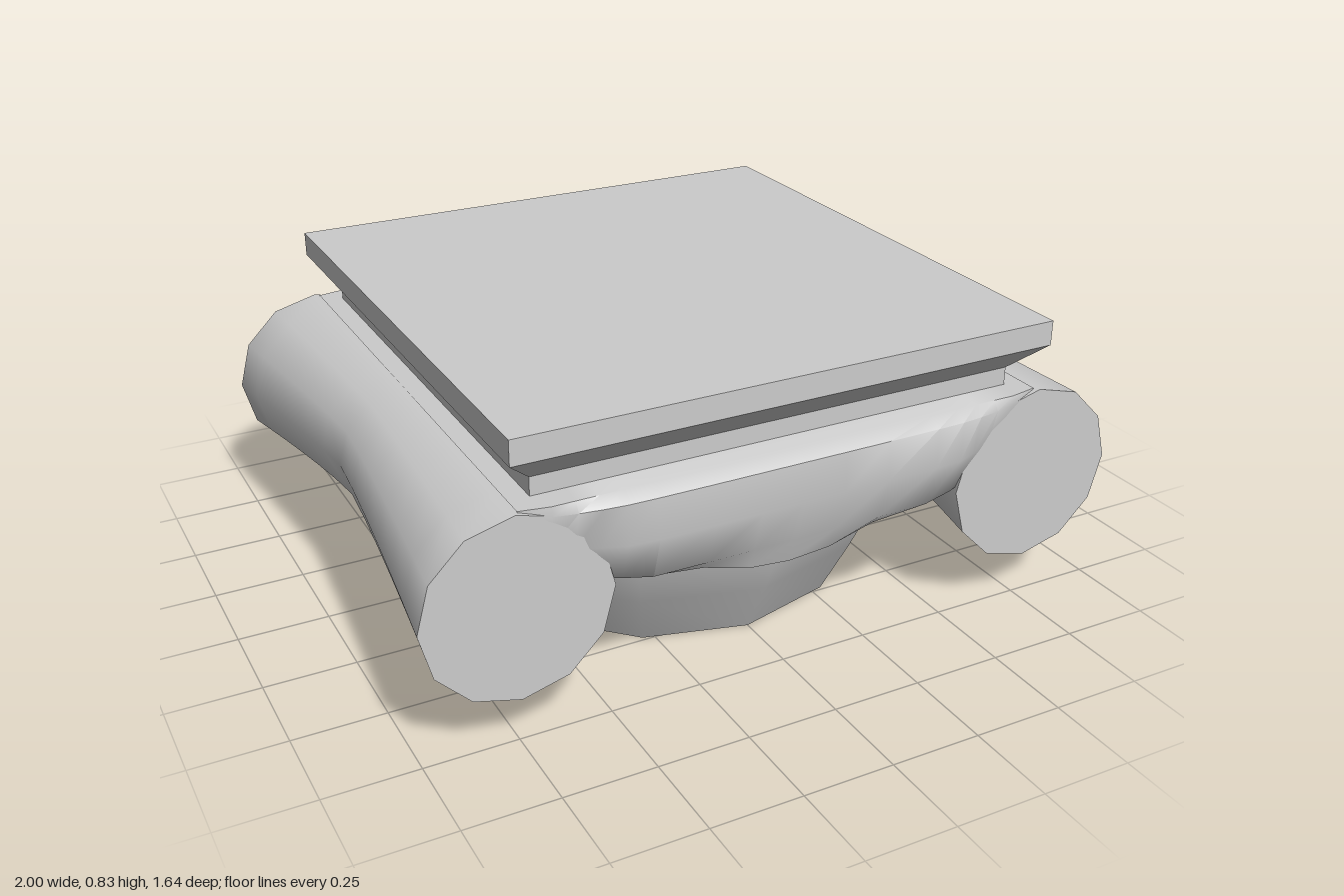
import * as THREE from 'three';
import { toCreasedNormals } from 'three/addons/utils/BufferGeometryUtils.js';

const material = new THREE.MeshStandardMaterial({ color: 0xcccccc });
const doubleSided = new THREE.MeshStandardMaterial({ color: 0xcccccc, side: THREE.DoubleSide });

function addPart(group, name, geometry, mat = material) {
  const mesh = new THREE.Mesh(geometry, mat);
  mesh.name = name;
  group.add(mesh);
}

// Rectangular layer between two heights, with its own half sizes at bottom and top
function layer(y0, y1, [bx, bz], [tx, tz]) {
  const geo = new THREE.BoxGeometry(2, 1, 2);
  const p = geo.attributes.position;
  for (let i = 0; i < p.count; i++) {
    const top = p.getY(i) > 0;
    p.setXYZ(i, p.getX(i) * (top ? tx : bx), top ? y1 : y0, p.getZ(i) * (top ? tz : bz));
  }
  geo.computeVertexNormals();
  return geo;
}

// Twelve-sided scroll roll, waisted at the middle with a level top line
function bolster(side) {
  const geo = new THREE.CylinderGeometry(1, 1, 1.56, 12, 12);
  geo.rotateX(Math.PI / 2);
  const p = geo.attributes.position;
  for (let i = 0; i < p.count; i++) {
    const t = Math.abs(p.getZ(i)) / 0.78;
    const r = 0.185 + 0.065 * t ** 1.2;
    const cx = 0.93 + 0.07 * t ** 1.2 - r;
    p.setX(i, side * cx + p.getX(i) * r);
    p.setY(i, 0.635 - r + p.getY(i) * r);
  }
  return toCreasedNormals(geo, 0.8);
}

// Swelling band between the scrolls, lofted across x
function cushion() {
  // x, front depth near the top, front depth at mid height, lip height
  const half = [
    [0, 0.815, 0.82, 0.305], [0.12, 0.815, 0.82, 0.315], [0.25, 0.815, 0.82, 0.352],
    [0.4, 0.814, 0.818, 0.368], [0.48, 0.812, 0.812, 0.385], [0.54, 0.806, 0.79, 0.39],
    [0.6, 0.797, 0.768, 0.4], [0.66, 0.785, 0.75, 0.41], [0.74, 0.765, 0.74, 0.42],
  ];
  const stations = [...half.slice(1).reverse().map(([x, ...s]) => [-x, ...s]), ...half];
  const positions = [];
  const index = [];
  let n = 0;
  stations.forEach(([x, upper, mid, lip], i) => {
    const front = [
      [Math.min(0.78, upper), 0.635], [upper, 0.61], [mid, 0.5],
      [mid - 0.035, Math.max(0.38, lip + 0.01)], [mid - 0.06, lip], [0.6, lip + 0.01],
    ];
    const ring = [...front, ...front.map(([z, y]) => [-z, y]).reverse()];
    n = ring.length;
    for (const [z, y] of ring) positions.push(x, y, z);
    if (i === 0) return;
    for (let j = 0; j < n; j++) {
      const a = (i - 1) * n + j, c = (i - 1) * n + (j + 1) % n;
      index.push(a, c, a + n, c, c + n, a + n);
    }
  });
  const geo = new THREE.BufferGeometry();
  geo.setAttribute('position', new THREE.Float32BufferAttribute(positions, 3));
  geo.setIndex(index);
  return toCreasedNormals(geo, 0.9);
}

export function createModel() {
  const group = new THREE.Group();
  group.name = 'columnCapital';

  // Flared round base
  const profile = [[0, 0], [0.565, 0], [0.645, 0.16], [0.695, 0.27], [0.715, 0.36], [0.7, 0.45]]
    .map(([x, y]) => new THREE.Vector2(x, y));
  addPart(group, 'echinus', toCreasedNormals(new THREE.LatheGeometry(profile, 12), 0.7), doubleSided);

  // Scroll rolls and the band joining them
  addPart(group, 'leftBolster', bolster(1));
  addPart(group, 'rightBolster', bolster(-1));
  addPart(group, 'cushion', cushion(), doubleSided);

  // Stepped square top
  addPart(group, 'abacusNeck', layer(0.62, 0.685, [0.685, 0.71], [0.685, 0.71]));
  addPart(group, 'abacusFlare', layer(0.685, 0.762, [0.685, 0.71], [0.762, 0.787]));
  addPart(group, 'abacusSlab', layer(0.762, 0.83, [0.762, 0.787], [0.762, 0.787]));
  return group;
}
